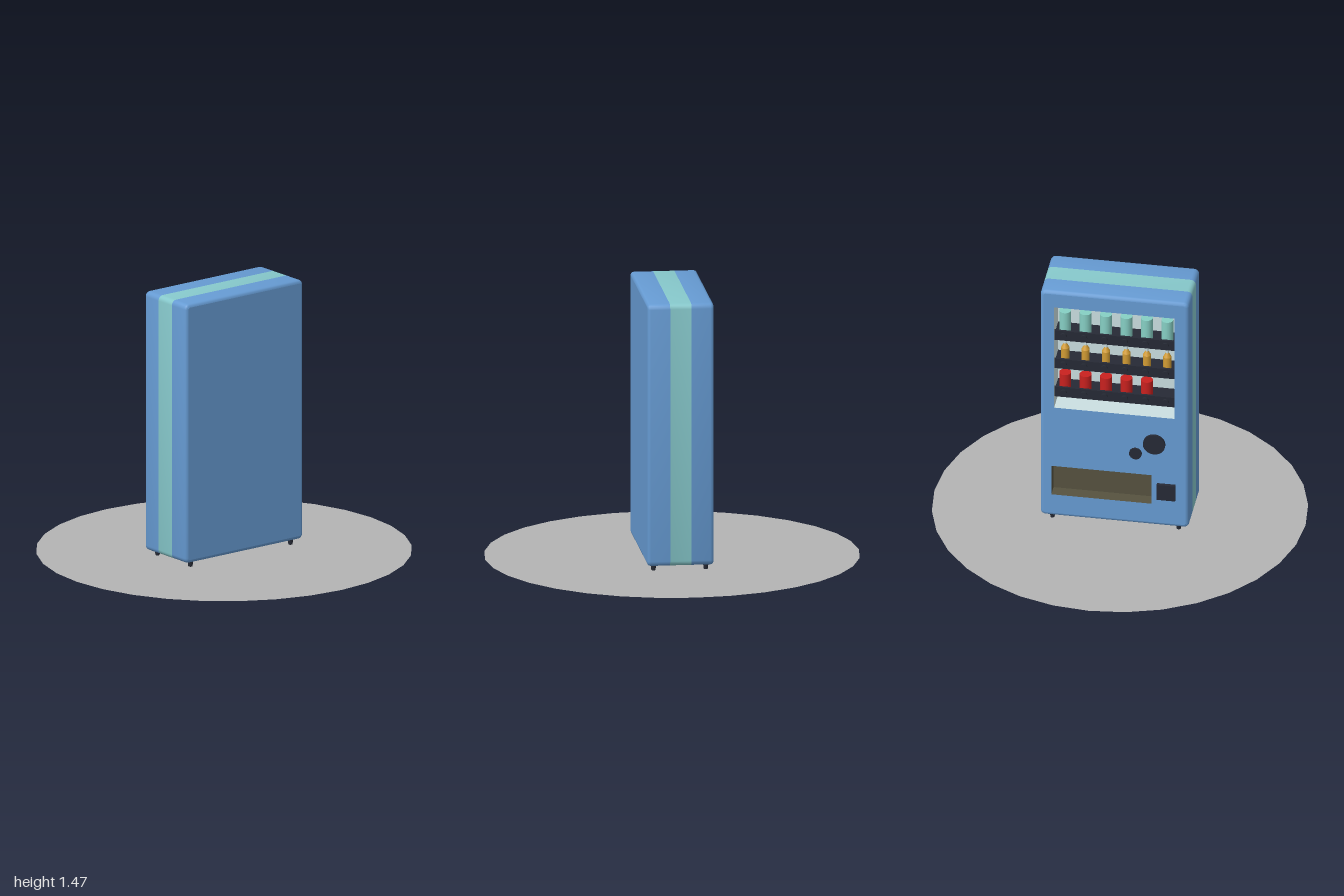
import * as THREE from 'three';
import { toCreasedNormals } from 'three/addons/utils/BufferGeometryUtils.js';

const paint = (name, color, side = THREE.FrontSide) => {
  const m = new THREE.MeshStandardMaterial({ color, side });
  m.name = name;
  return m;
};

const W = 0.4, Y0 = 0.035, Y1 = 1.465, D = 0.177; // cabinet half width, bottom, top, half depth
const CORNER = 0.028, BEVEL = 0.018, STRIPE = 0.057;

// Counter-clockwise rounded rectangle of the cabinet, shrunk by an inset
function outline(inset) {
  const r = CORNER - inset, cx = W - CORNER, cy = (Y1 - Y0) / 2 - CORNER, mid = (Y0 + Y1) / 2;
  const points = [];
  [[1, 1], [-1, 1], [-1, -1], [1, -1]].forEach(([sx, sy], q) => {
    for (let i = 0; i <= 4; i++) {
      const a = (q + i / 4) * Math.PI / 2;
      points.push(new THREE.Vector2(sx * cx + r * Math.cos(a), mid + sy * cy + r * Math.sin(a)));
    }
  });
  return points;
}

// Skin through outlines given as [z, inset], with z increasing
function loft(profile) {
  const positions = [], index = [];
  let n = 0;
  profile.forEach(([z, inset]) => {
    const ring = outline(inset);
    n = ring.length;
    ring.forEach((p) => positions.push(p.x, p.y, z));
  });
  for (let i = 0; i < profile.length - 1; i++) {
    for (let j = 0; j < n; j++) {
      const k = (j + 1) % n, a = i * n + j, b = i * n + k;
      index.push(a, b, b + n, a, b + n, a + n);
    }
  }
  const g = new THREE.BufferGeometry();
  g.setAttribute('position', new THREE.Float32BufferAttribute(positions, 3));
  g.setIndex(index);
  return toCreasedNormals(g, 0.7);
}

// Inward-facing box, open towards -z
function recess(x0, x1, y0, y1, depth) {
  const g = new THREE.BoxGeometry(x1 - x0, y1 - y0, depth);
  g.setIndex(Array.from(g.index.array).slice(0, 30).reverse());
  const normals = g.attributes.normal.array;
  for (let i = 0; i < normals.length; i++) normals[i] *= -1;
  return g.translate((x0 + x1) / 2, (y0 + y1) / 2, -D + depth / 2);
}

export function createModel() {
  const blue = paint('cabinet blue', 0x669bd3);
  const aqua = paint('stripe aqua', 0x86c8cb);
  const mint = paint('can mint', 0x86cfc4);
  const dark = paint('dark trim', 0x262a35);
  const red = paint('can red', 0xc9211f);
  const gold = paint('bottle gold', 0xd29c34);
  const pale = paint('interior pale', 0xcbdfe2);
  const brown = paint('tray brown', 0x56523f);
  const grey = paint('ground grey', 0xb4b4b4, THREE.DoubleSide);

  const model = new THREE.Group();
  model.name = 'vendingMachine';
  const add = (name, geometry, material, x = 0, y = 0, z = 0, parent = model) => {
    const mesh = new THREE.Mesh(geometry, material);
    mesh.name = name;
    mesh.position.set(x, y, z);
    parent.add(mesh);
    return mesh;
  };

  // Ground disc
  add('groundDisc', new THREE.CircleGeometry(1, 32).rotateX(-Math.PI / 2), grey, 0, 0.005);

  // Cabinet skin: two bevelled halves with the stripe between them
  const frontProfile = [[STRIPE, 0]];
  for (let i = 0; i <= 3; i++) {
    const a = i / 3 * Math.PI / 2;
    frontProfile.push([D - BEVEL + BEVEL * Math.sin(a), BEVEL * (1 - Math.cos(a))]);
  }
  const backProfile = frontProfile.map(([z, inset]) => [-z, inset]).reverse();
  add('cabinetFrontHalf', loft(frontProfile), blue);
  add('cabinetBackHalf', loft(backProfile), blue);
  add('cabinetStripe', loft([[-STRIPE, 0], [STRIPE, 0]]), aqua);
  add('plainPanel', new THREE.ShapeGeometry(new THREE.Shape(outline(BEVEL))), blue, 0, 0, D);

  // Service panel with openings for the window and the tray
  const windowBox = [-0.325, 0.325, 0.725, 1.365], trayBox = [-0.2, 0.34, 0.17, 0.352];
  const panel = new THREE.Shape(outline(BEVEL));
  [windowBox, trayBox].forEach(([x0, x1, y0, y1]) => {
    panel.holes.push(new THREE.Path([
      new THREE.Vector2(-x0, y0), new THREE.Vector2(-x1, y0),
      new THREE.Vector2(-x1, y1), new THREE.Vector2(-x0, y1)]));
  });
  add('servicePanel', new THREE.ShapeGeometry(panel).rotateY(Math.PI), blue, 0, 0, -D);
  add('displayInterior', recess(...windowBox, 0.13), pale);
  add('trayInterior', recess(...trayBox, 0.07), brown);

  // Goods
  const mintCan = new THREE.CylinderGeometry(0.032, 0.032, 0.125, 16);
  const redCan = new THREE.CylinderGeometry(0.032, 0.032, 0.09, 16);
  const bottle = new THREE.CylinderGeometry(0.022, 0.022, 0.07, 16);
  const shoulder = new THREE.CylinderGeometry(0.008, 0.022, 0.025, 16);
  const cap = new THREE.CylinderGeometry(0.008, 0.008, 0.015, 12);
  const button = new THREE.CylinderGeometry(0.018, 0.018, 0.012, 16).rotateX(Math.PI / 2);

  // Three shelves with six slots each; the last slot of the bottom row is empty
  [1.185, 1.005, 0.825].forEach((y, row) => {
    const shelf = new THREE.Group();
    shelf.name = 'shelf' + (row + 1);
    model.add(shelf);
    add('shelfBoard', new THREE.BoxGeometry(0.65, 0.03, 0.115), dark, 0, y - 0.01, -0.105, shelf);
    add('shelfFront', new THREE.BoxGeometry(0.65, 0.06, 0.012), dark, 0, y, -0.166, shelf);
    const top = y + 0.005, z = -0.118;
    for (let i = 0; i < 6; i++) {
      const x = 0.275 - i * 0.11;
      add('selectorButton', button, dark, x, y, -0.176, shelf);
      if (row === 0) add('mintCan', mintCan, mint, x, top + 0.0625, z, shelf);
      if (row === 1) {
        add('bottle', bottle, gold, x, top + 0.035, z, shelf);
        add('bottleShoulder', shoulder, gold, x, top + 0.0825, z, shelf);
        add('bottleCap', cap, pale, x, top + 0.1025, z, shelf);
      }
      if (row === 2 && i < 5) add('redCan', redCan, red, x, top + 0.045, z, shelf);
    }
  });

  // Controls on the service panel
  const knob = (r, depth) => new THREE.CylinderGeometry(r, r, depth, 24).rotateX(Math.PI / 2);
  add('largeKnob', knob(0.06, 0.02), dark, -0.215, 0.555, -0.181);
  add('smallKnob', knob(0.034, 0.018), dark, -0.114, 0.484, -0.178);
  add('coinReturn', new THREE.BoxGeometry(0.1, 0.095, 0.03), dark, -0.28, 0.258, -0.181);

  // Feet
  const foot = new THREE.CylinderGeometry(0.015, 0.011, 0.04, 12);
  for (const x of [-0.34, 0.34]) for (const z of [-0.14, 0.14]) add('foot', foot, dark, x, 0.02, z);

  return model;
}
